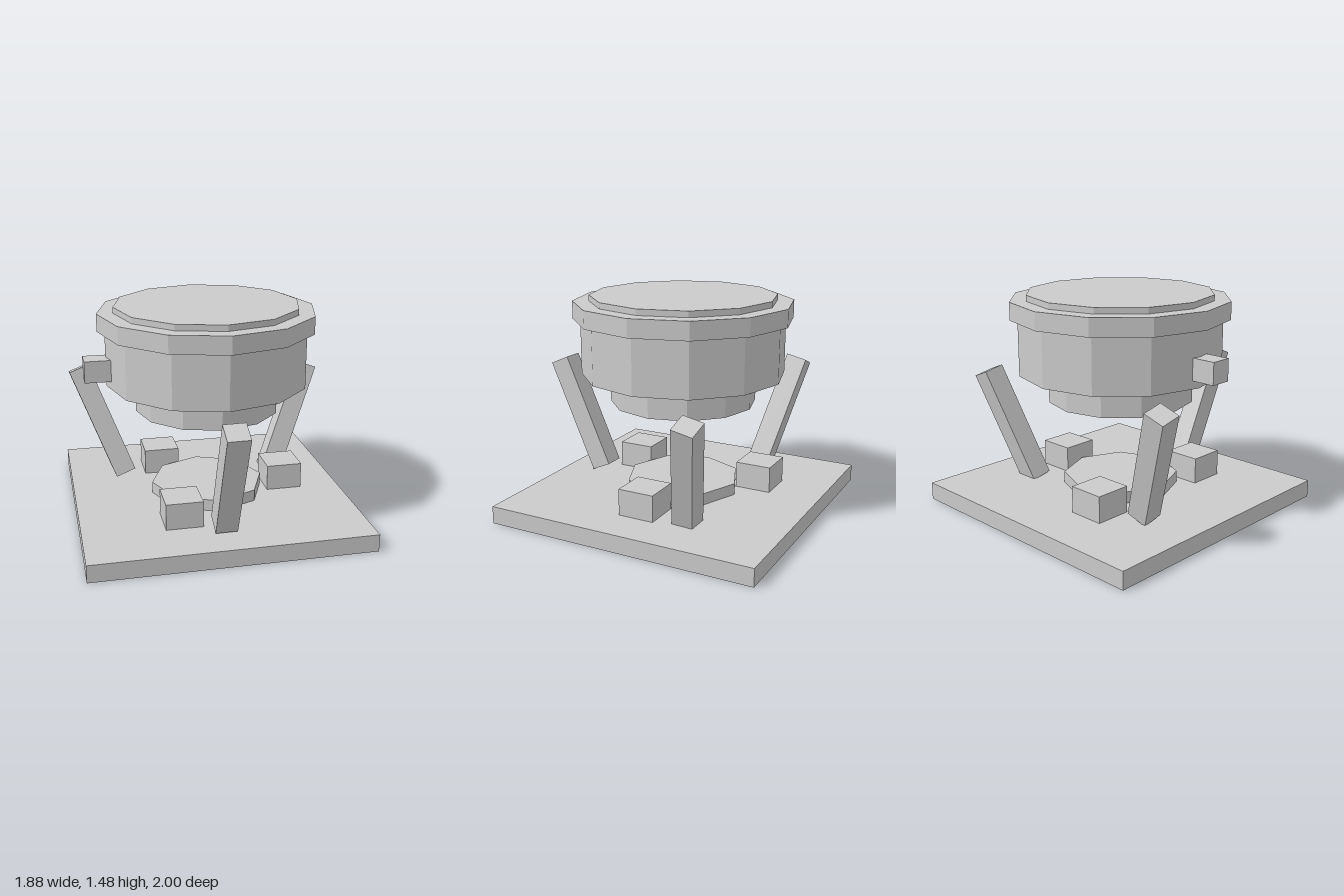
import * as THREE from 'three';

const CZ = -0.06; // z of the central axis
const material = new THREE.MeshStandardMaterial({ color: 0xcccccc, flatShading: true });

function add(group, name, geometry, x, y, z) {
  const mesh = new THREE.Mesh(geometry, material);
  mesh.name = name;
  mesh.position.set(x, y, z);
  group.add(mesh);
  return mesh;
}

// Faceted drum between two heights on the central axis
function drum(group, name, radius, y0, y1, sides = 12) {
  return add(group, name, new THREE.CylinderGeometry(radius, radius, y1 - y0, sides), 0, (y0 + y1) / 2, CZ);
}

export function createModel() {
  const model = new THREE.Group();
  model.name = 'model';

  // Ground slab and low octagonal pad
  add(model, 'baseSlab', new THREE.BoxGeometry(1.88, 0.12, 1.88), 0, 0.06, CZ);
  drum(model, 'floorPad', 0.395, 0.12, 0.2, 8);

  // Floating stacked drum
  drum(model, 'lowerDrum', 0.495, 0.745, 0.94);
  drum(model, 'mainDrum', 0.69, 0.94, 1.315);
  drum(model, 'rim', 0.74, 1.315, 1.435);
  drum(model, 'topCap', 0.63, 1.435, 1.475);

  // Small block on the right flank
  add(model, 'sideBlock', new THREE.BoxGeometry(0.22, 0.147, 0.147), -0.73, 1.068, -0.037);

  // Three blocks around the pad
  for (let i = 0; i < 3; i++) {
    const a = (i * Math.PI * 2) / 3;
    add(model, 'floorBlock', new THREE.BoxGeometry(0.25, 0.18, 0.25),
      0.54 * Math.cos(a), 0.21, CZ + 0.54 * Math.sin(a));
  }

  // Three outward-leaning struts: [angle, x, y, z]
  const lean = 0.424;
  const struts = [
    [1.6, -0.025, 0.541, 0.763],
    [3.7, -0.696, 0.536, -0.495],
    [5.8, 0.70, 0.484, -0.45],
  ];
  for (const [a, x, y, z] of struts) {
    const strut = add(model, 'strut', new THREE.BoxGeometry(0.147, 0.84, 0.147), x, y, z);
    strut.rotation.set(lean * Math.sin(a), 0, -lean * Math.cos(a));
  }

  return model;
}
